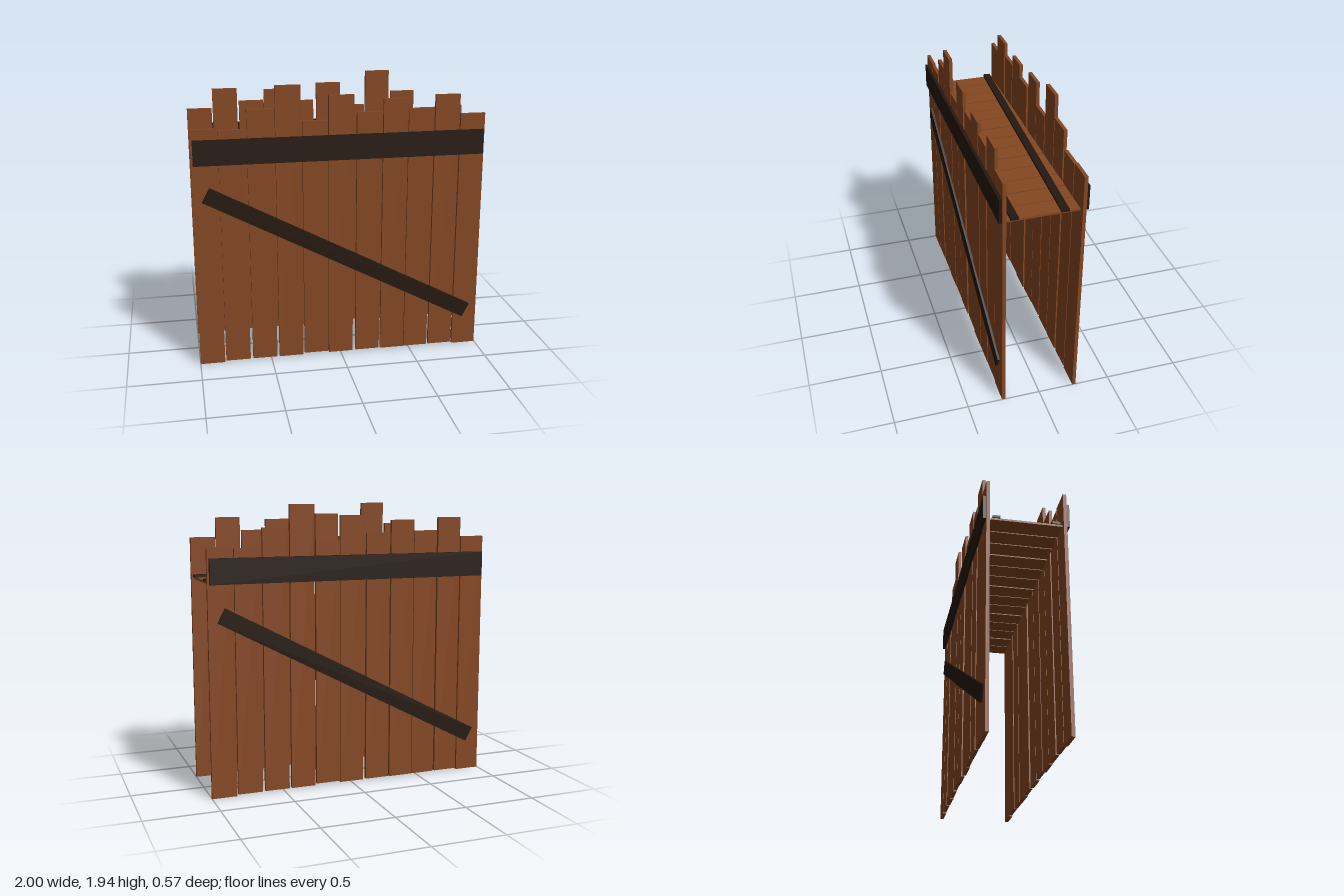
import * as THREE from 'three';

const wood = new THREE.MeshStandardMaterial({ color: 0x854722, flatShading: true });
const darkWood = new THREE.MeshStandardMaterial({ color: 0x251810, flatShading: true });

function board(name, size, position, material) {
  const mesh = new THREE.Mesh(new THREE.BoxGeometry(...size), material);
  mesh.name = name;
  mesh.position.set(...position);
  return mesh;
}

// Upright planks: left edge, bottom, top, middle depth
const PLANKS = [
  [-1.0, 0.0, 1.67, 0.252], [-0.82, 0.01, 1.66, 0.252], [-0.63, 0.01, 1.79, 0.25],
  [-0.443, 0.01, 1.94, 0.253], [-0.262, 0.02, 1.70, 0.252], [-0.086, 0.01, 1.865, 0.252],
  [0.108, 0.01, 1.745, 0.248], [0.288, 0.01, 1.83, 0.254], [0.464, 0.01, 1.755, 0.252],
  [0.648, 0.01, 1.845, 0.25], [0.827, 0.0, 1.71, 0.252],
];

function createWall(name) {
  const wall = new THREE.Group();
  wall.name = name;
  PLANKS.forEach(([x, bottom, top, z], i) => {
    wall.add(board(`wallPlank${i + 1}`, [0.171, top - bottom, 0.023],
      [x + 0.0855, (top + bottom) / 2, z], wood));
  });
  // Horizontal rail and diagonal brace on the outer face
  wall.add(board('wallRail', [1.975, 0.17, 0.022], [0, 1.515, 0.273], darkWood));
  const brace = board('diagonalBrace', [2.07, 0.11, 0.018], [0.002, 0.745, 0.269], darkWood);
  brace.rotation.z = -Math.atan2(0.965, 1.83);
  wall.add(brace);
  return wall;
}

function createWalkway() {
  const walkway = new THREE.Group();
  walkway.name = 'walkway';
  // Cross planks of the floor
  for (let i = 0; i < 14; i++) {
    walkway.add(board(`floorPlank${i + 1}`, [0.132, 0.014, 0.465],
      [-0.921 + i * 0.1412, 1.434 + (i % 3 - 1) * 0.001, 0.001], wood));
  }
  // Two long battens lying on the floor, slightly askew
  for (const [name, z, slope] of [['frontBatten', 0.19, 0.004], ['backBatten', -0.165, -0.032]]) {
    const batten = board(name, [1.985, 0.017, 0.05], [0, 1.45, z], darkWood);
    batten.rotation.y = slope;
    walkway.add(batten);
  }
  return walkway;
}

export function createModel() {
  const model = new THREE.Group();
  model.name = 'palisadeWall';
  // The back wall is the same wall turned half a turn
  const backWall = createWall('backWall');
  backWall.rotation.y = Math.PI;
  model.add(createWall('frontWall'), backWall, createWalkway());
  return model;
}
